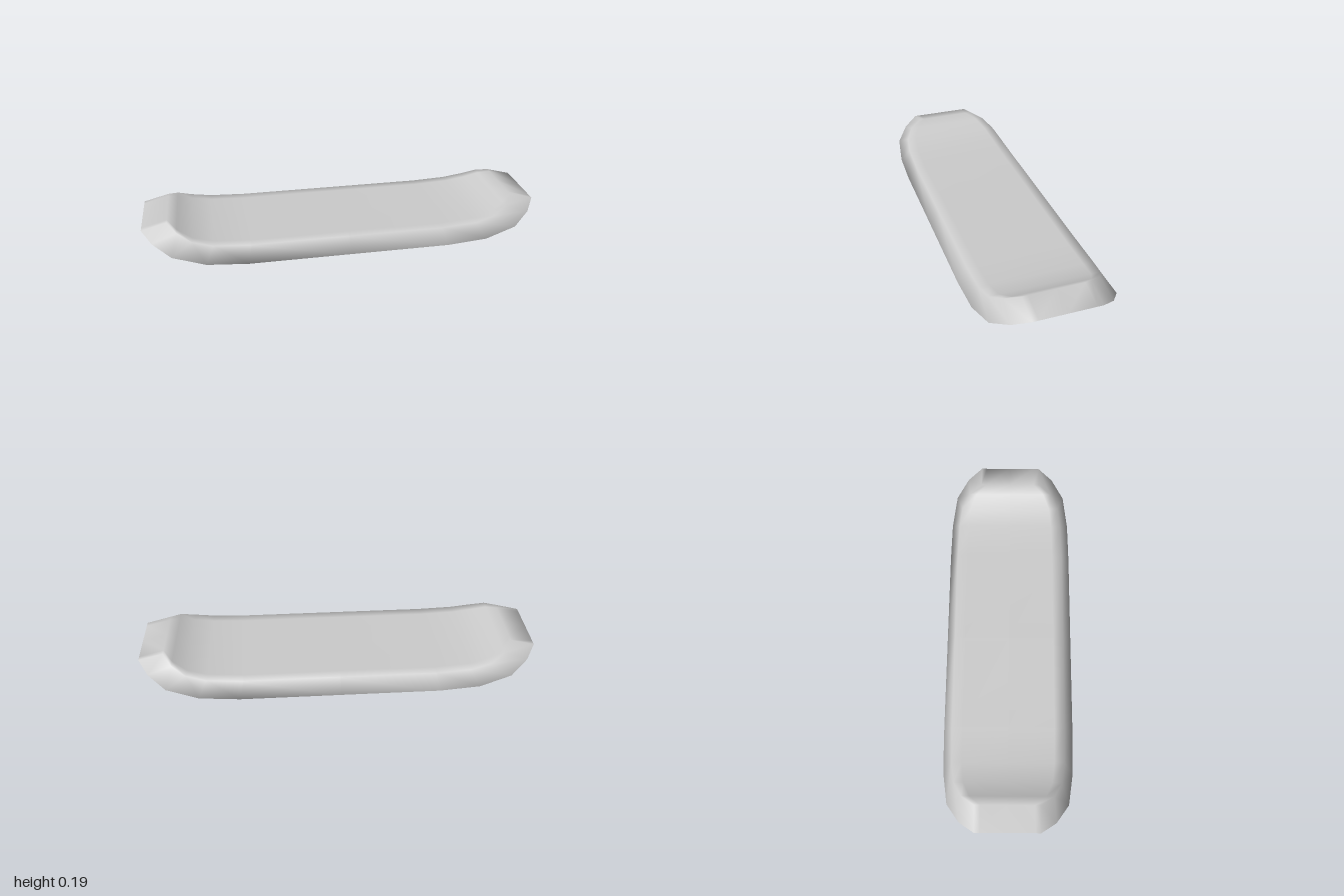
import * as THREE from 'three';

const grey = new THREE.MeshStandardMaterial({ color: 0xcccccc, side: THREE.DoubleSide });

// Half-length stations: bottom x, half width, y, then top x, half width, y
const half = [
  [0, 0.33, 0.014, 0, 0.285, 0.09],
  [0.5, 0.33, 0.014, 0.48, 0.285, 0.09],
  [0.7, 0.325, 0.027, 0.66, 0.28, 0.1],
  [0.86, 0.3, 0.068, 0.76, 0.265, 0.122],
  [0.95, 0.235, 0.115, 0.83, 0.225, 0.157],
  [1, 0.16, 0.152, 0.875, 0.16, 0.185],
];
const across = [-1, -0.82, 0, 0.82, 1];

// Smooth slab lofted along x, with upturned ends
function deckGeometry() {
  const mirrored = half.slice(1).reverse().map(([a, b, c, d, e, f]) => [-a, b, c, -d, e, f]);
  const stations = [...mirrored, ...half];
  const pos = [], idx = [];
  const m = across.length, n = m * 2;
  for (const [xb, wb, yb, xt, wt, yt] of stations) {
    for (const k of across) pos.push(xb, yb, k * wb);
    for (const k of across) pos.push(xt, yt, -k * wt);
  }
  for (let i = 0; i < stations.length - 1; i++) {
    for (let j = 0; j < n; j++) {
      const a = i * n + j, b = i * n + (j + 1) % n;
      idx.push(a, a + n, b, b, a + n, b + n);
    }
  }
  // Slanted end faces
  const last = (stations.length - 1) * n;
  for (let j = 0; j < m - 1; j++) {
    for (const [base, flip] of [[0, true], [last, false]]) {
      const b0 = base + j, b1 = b0 + 1, t0 = base + n - 1 - j, t1 = t0 - 1;
      if (flip) idx.push(b0, b1, t0, b1, t1, t0);
      else idx.push(b0, t0, b1, b1, t0, t1);
    }
  }
  const geo = new THREE.BufferGeometry();
  geo.setAttribute('position', new THREE.Float32BufferAttribute(pos, 3));
  geo.setIndex(idx);
  geo.computeVertexNormals();
  return geo;
}

// Height of the underside at a given x
function undersideY(x) {
  const ax = Math.abs(x);
  const i = Math.max(1, half.findIndex((s) => s[0] >= ax));
  const [p, q] = [half[i - 1], half[i]];
  return THREE.MathUtils.lerp(p[2], q[2], (ax - p[0]) / (q[0] - p[0]));
}

// Flat pointed plate with a bowed outer edge
function toothGeometry() {
  const s = new THREE.Shape();
  s.moveTo(-0.02, -0.14);
  s.lineTo(0.08, 0);
  s.quadraticCurveTo(0, 0.05, -0.08, 0);
  s.closePath();
  const geo = new THREE.ExtrudeGeometry(s, { depth: 0.006, bevelEnabled: false, curveSegments: 6 });
  return geo.rotateX(Math.PI / 2);
}

export function createModel() {
  const model = new THREE.Group();
  const deck = new THREE.Mesh(deckGeometry(), grey);
  deck.name = 'deck';
  model.add(deck);

  // Two rows of teeth under the long edges, points facing inward
  const geo = toothGeometry();
  for (const side of [-1, 1]) {
    const row = new THREE.Group();
    row.name = side > 0 ? 'frontTeeth' : 'backTeeth';
    for (let i = 0; i < 8; i++) {
      const x = (i - 3.5) * 0.22;
      const tooth = new THREE.Mesh(geo, grey);
      tooth.name = 'tooth';
      tooth.position.set(x, undersideY(x) - 0.008, side * 0.245);
      const slope = (undersideY(x + 0.05) - undersideY(x - 0.05)) / 0.1;
      tooth.rotation.set(0, side > 0 ? 0 : Math.PI, Math.atan(slope), 'ZYX');
      row.add(tooth);
    }
    model.add(row);
  }
  return model;
}
